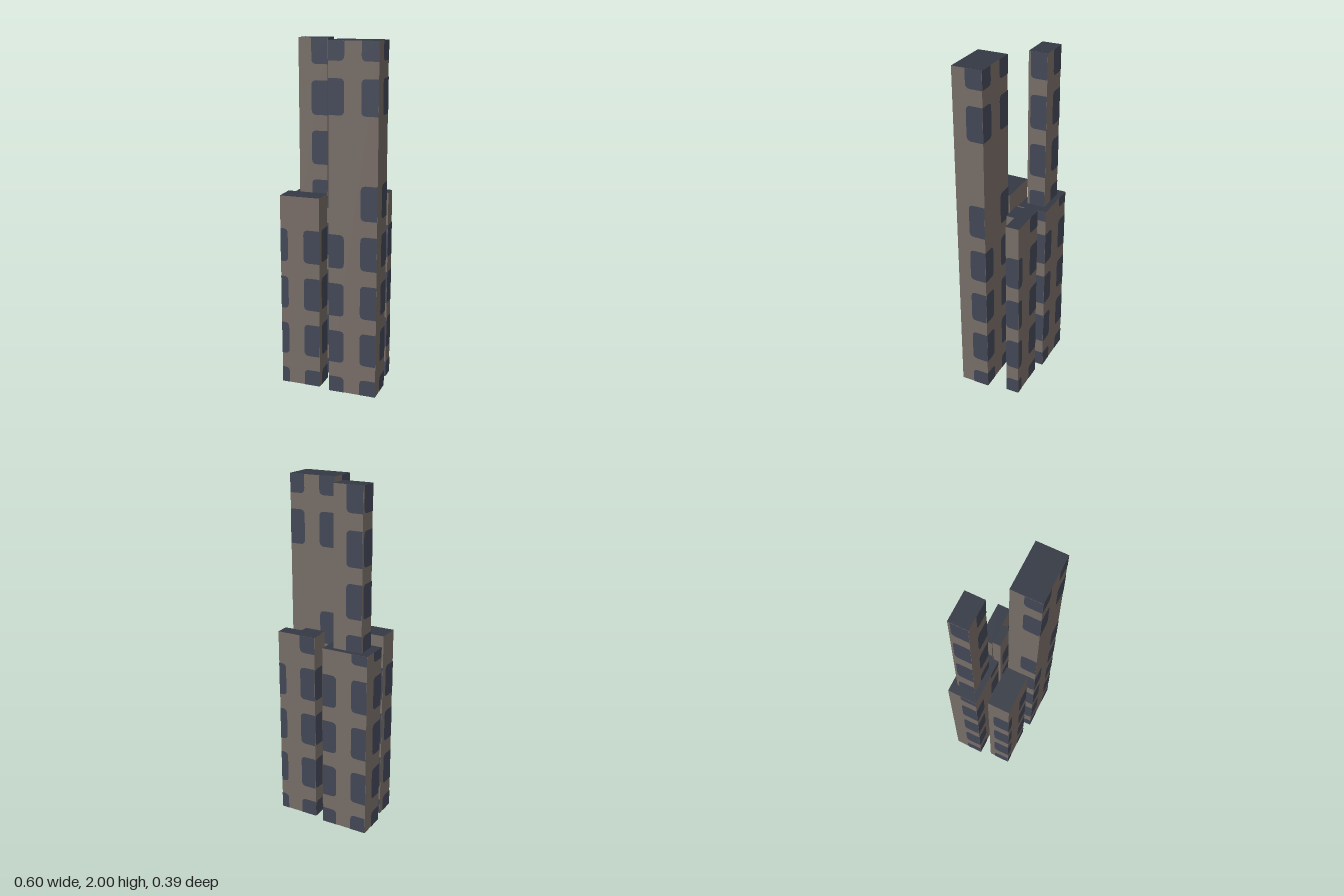
import * as THREE from 'three';

const mat = (name, color) => {
  const m = new THREE.MeshStandardMaterial({ color });
  m.name = name;
  return m;
};

const PITCH = 0.285, WIN_W = 0.095, WIN_H = 0.195;

// Flat window pane, rounded only on the chosen side, square where it meets a corner
function pane(u0, u1, v0, v1, roundLeft, roundTop, roundBottom) {
  const r = Math.min(0.028, (u1 - u0) * 0.6, (v1 - v0) * 0.5);
  const inner = roundLeft ? u0 : u1, outer = roundLeft ? u1 : u0;
  const dir = Math.sign(outer - inner);
  const rt = roundTop ? r : 0, rb = roundBottom ? r : 0;
  const s = new THREE.Shape();
  s.moveTo(outer, v0);
  s.lineTo(inner + dir * rb, v0);
  s.quadraticCurveTo(inner, v0, inner, v0 + rb);
  s.lineTo(inner, v1 - rt);
  s.quadraticCurveTo(inner, v1, inner + dir * rt, v1);
  s.lineTo(outer, v1);
  s.closePath();
  return new THREE.ShapeGeometry(s, 4);
}

export function createModel() {
  const wall = mat('stoneWall', 0x766c66);
  const glass = mat('windowSlate', 0x424756);
  const roof = mat('roofSlate', 0x343944);
  const model = new THREE.Group();

  // One block with slate roof and rows of windows on the given faces
  // faces: 0 front, 1 left (+x), 2 back, 3 right (-x)
  function block(name, [x0, x1], [y0, y1], [z0, z1], { start = -0.1, faces = [0, 1, 2, 3], show = () => true } = {}) {
    const g = new THREE.Group();
    g.name = name;
    const w = x1 - x0, h = y1 - y0, d = z1 - z0;
    const body = new THREE.Mesh(new THREE.BoxGeometry(w, h, d), [wall, wall, roof, glass, wall, wall]);
    body.name = name + 'Walls';
    body.position.y = (y0 + y1) / 2;
    g.add(body);

    for (const f of faces) {
      const fw = f % 2 ? d : w, depth = f % 2 ? w : d;
      const side = new THREE.Group();
      side.name = name + 'Windows' + f;
      side.rotation.y = f * Math.PI / 2;
      // Columns are measured from the right edge of each face
      const columns = [{ u0: Math.max(0, fw - WIN_W), u1: fw, right: true }];
      if (fw > 2 * WIN_W + 0.01) columns.push({ u0: 0, u1: fw - 2 * WIN_W, right: false });
      for (let row = 0; start + row * PITCH < y1; row++) {
        const bottom = start + row * PITCH, top = bottom + WIN_H;
        const v0 = Math.max(bottom, y0), v1 = Math.min(top, y1);
        if (v1 - v0 < 0.01) continue;
        for (const c of columns) {
          if (!show(row, c.right, f)) continue;
          const m = new THREE.Mesh(
            pane(c.u0 - fw / 2, c.u1 - fw / 2, v0, v1, c.right, top <= y1, bottom >= y0), glass);
          m.name = 'window';
          m.position.z = depth / 2 + 0.0015;
          side.add(m);
        }
      }
      g.add(side);
    }
    g.position.set((x0 + x1) / 2, 0, (z0 + z1) / 2);
    model.add(g);
  }

  // Tall slab: blank band above the fourth storey
  block('tallTower', [0.02, 0.3], [0, 2], [0.02, 0.192], {
    show: (row, right) => row !== 5 && (row !== 4 || right),
  });

  // Broad low block with a slender tower rising from its roof
  block('broadBlock', [-0.3, -0.022], [0, 1.1], [-0.195, -0.023], {
    show: (row, right) => row < 4 || right,
  });
  block('slenderTower', [-0.248, -0.076], [1.0, 2], [-0.163, -0.055], { start: 1.0 });

  // Low block at the front
  block('frontBlock', [-0.28, -0.045], [0, 1.14], [0.042, 0.17], { show: row => row < 4 });

  // L-shaped low block at the back, with a plain-sided inner wing
  block('backBlock', [0.042, 0.278], [0, 1.14], [-0.172, -0.094], {
    show: (row, right, f) => row < 4 || (right && f === 2),
  });
  block('backWing', [0.051, 0.172], [0, 1.14], [-0.094, -0.045], {
    faces: [0], show: row => row < 4,
  });

  return model;
}
